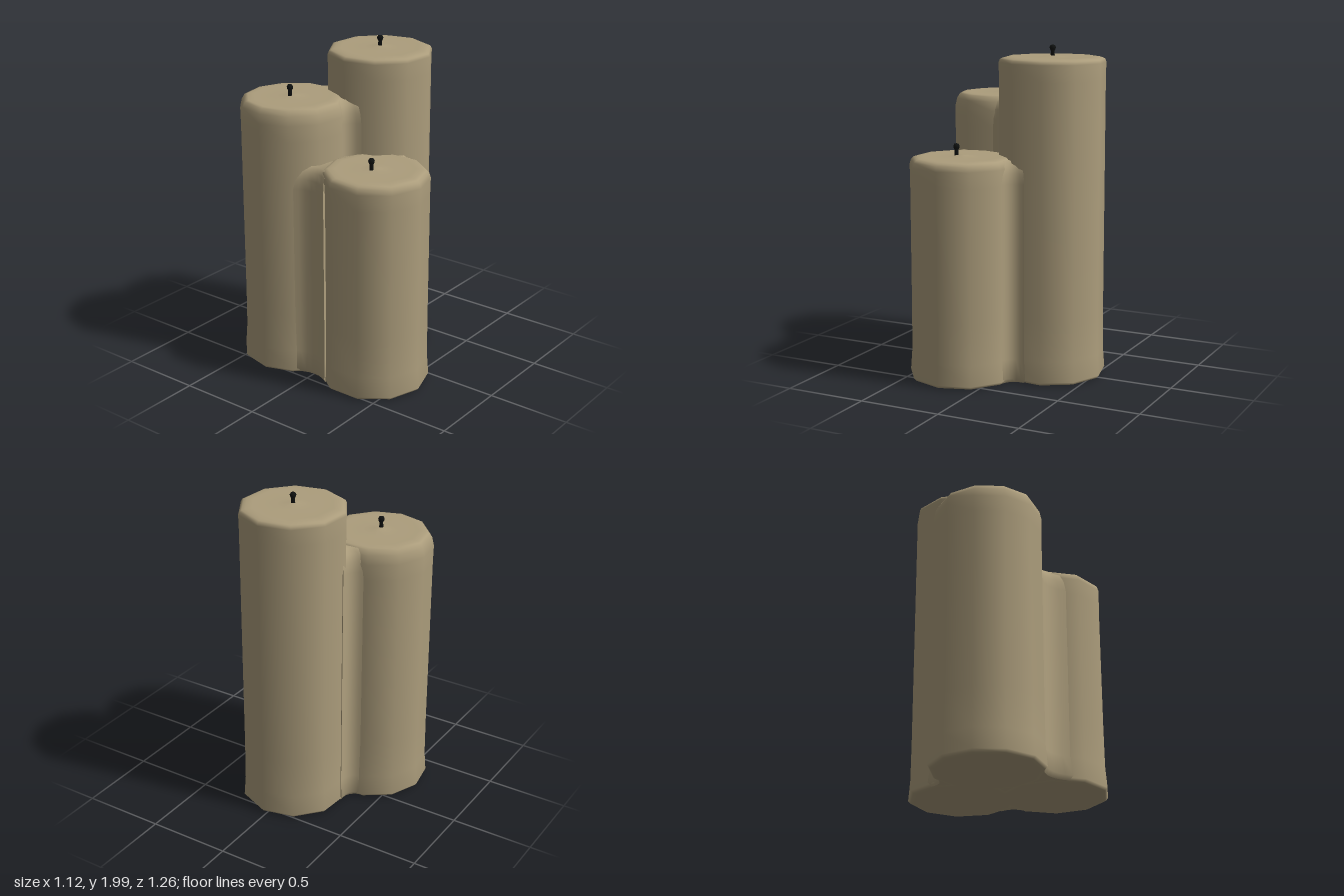
import * as THREE from 'three';
import { toCreasedNormals } from 'three/addons/utils/BufferGeometryUtils.js';

const wax = new THREE.MeshStandardMaterial({ color: 0xac9d7c });
wax.name = 'tan wax';
const char = new THREE.MeshStandardMaterial({ color: 0x0f1110 });
char.name = 'burnt wick';

// x, z, radius, height, sides, angle of first corner, shoulder size, wick position and tip
const candles = {
  tall: { x: 0.225, z: 0, r: 0.318, h: 1.93, sides: 10, angle: 5, shoulder: 0.02, drop: 0.03, wick: [0.225, 0], tip: 2.0 },
  middle: { x: -0.23, z: -0.3, r: 0.324, h: 1.68, sides: 11, angle: -84, shoulder: 0.03, drop: 0.09, wick: [-0.255, -0.3], tip: 1.755 },
  short: { x: -0.22, z: 0.3, r: 0.318, h: 1.35, sides: 10, angle: 90, shoulder: 0.025, drop: 0.05, wick: [-0.258, 0.3], tip: 1.425 },
};

// Softly faceted pillar with a flared foot and a rounded shoulder
function candleBody(name, c) {
  const { r, h, shoulder: s, drop: d } = c;
  const profile = [
    [0.001, 0.015], [r - 0.03, 0.015], [r - 0.005, 0.018], [r + 0.01, 0.035],
    [r, 0.16], [r - 0.002, 0.4], [r - 0.002, h - d - 0.1], [r, h - d],
    [r - s * 0.4, h - d * 0.4], [r - s, h - 0.006], [r - s - 0.02, h],
    [r - s - 0.06, h + 0.002], [0.1, h - 0.002], [0.03, h + 0.006], [0.001, h + 0.008],
  ].map(([x, y]) => new THREE.Vector2(x, y));
  const start = Math.PI / 2 - THREE.MathUtils.degToRad(c.angle);
  const mesh = new THREE.Mesh(new THREE.LatheGeometry(profile, c.sides, start), wax);
  mesh.position.set(c.x, 0, c.z);
  mesh.name = name;
  return mesh;
}

// Short wick with a charred knob
function wick(name, c) {
  const base = c.h - 0.01;
  const len = c.tip - base;
  const profile = [
    [0.001, 0], [0.013, 0], [0.011, len * 0.55], [0.017, len * 0.68],
    [0.019, len * 0.82], [0.013, len * 0.96], [0.001, len],
  ].map(([x, y]) => new THREE.Vector2(x, y));
  const mesh = new THREE.Mesh(new THREE.LatheGeometry(profile, 10), char);
  mesh.position.set(c.wick[0], base, c.wick[1]);
  mesh.name = name;
  return mesh;
}

// Melted wax joining two candles: concave fillets on both sides, tapering in at the top
function waxJoint(name, a, b, degrees) {
  const half = Math.hypot(b.x - a.x, b.z - a.z) / 2;
  const r = (a.r + b.r) / 2 - 0.006;
  const t = THREE.MathUtils.degToRad(degrees);
  const px = half - r * Math.cos(t);
  const py = r * Math.sin(t);
  const control = (r - half * Math.cos(t)) / Math.sin(t);
  const shape = new THREE.Shape();
  shape.moveTo(-px, -py);
  shape.quadraticCurveTo(0, -control, px, -py);
  shape.lineTo(px, py);
  shape.quadraticCurveTo(0, control, -px, py);
  shape.closePath();

  const h = Math.min(a.h, b.h);
  const levels = [
    [0.018, 0.97], [0.045, 1.06], [0.16, 1], [h - 0.14, 1],
    [h - 0.08, 0.96], [h - 0.035, 0.88], [h - 0.008, 0.74],
  ];
  const steps = levels.length - 1;
  const geo = new THREE.ExtrudeGeometry(shape, { depth: steps, steps, bevelEnabled: false, curveSegments: 6 });
  const p = geo.attributes.position;
  for (let i = 0; i < p.count; i++) {
    const [y, scale] = levels[Math.round(p.getZ(i))];
    p.setXYZ(i, p.getX(i) * scale, p.getY(i) * scale, y);
  }
  geo.rotateX(-Math.PI / 2);
  const mesh = new THREE.Mesh(toCreasedNormals(geo, 0.9), wax);
  mesh.position.set((a.x + b.x) / 2, 0, (a.z + b.z) / 2);
  mesh.rotation.y = -Math.atan2(b.z - a.z, b.x - a.x);
  mesh.name = name;
  return mesh;
}

export function createModel() {
  const group = new THREE.Group();
  group.name = 'candleCluster';
  for (const [name, c] of Object.entries(candles)) {
    group.add(candleBody(name + 'Candle', c), wick(name + 'Wick', c));
  }
  const { tall, middle, short } = candles;
  group.add(
    waxJoint('tallMiddleJoint', tall, middle, 50),
    waxJoint('tallShortJoint', tall, short, 50),
    waxJoint('middleShortJoint', middle, short, 55),
  );
  return group;
}
